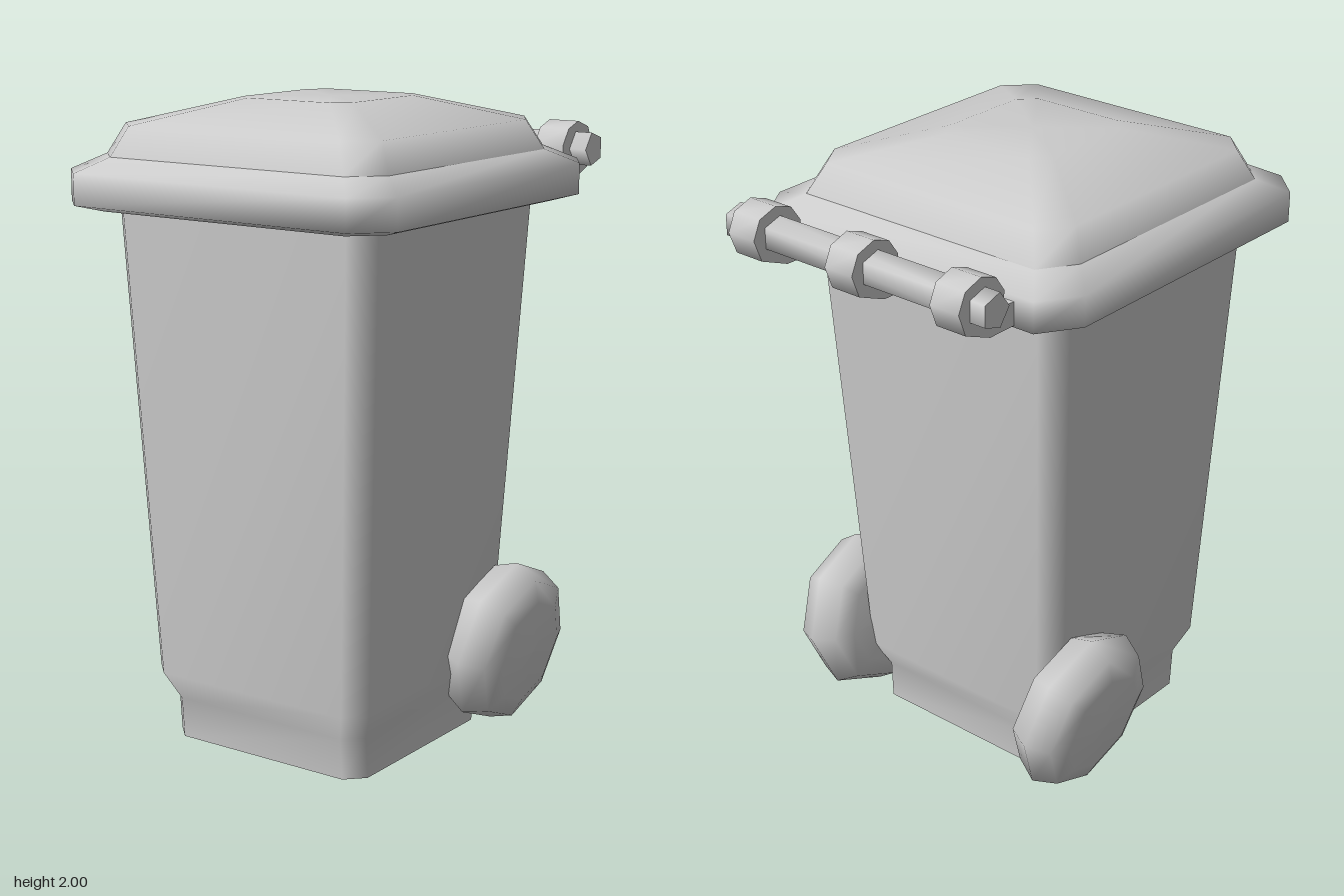
import * as THREE from 'three';
import { toCreasedNormals } from 'three/addons/utils/BufferGeometryUtils.js';

const material = new THREE.MeshStandardMaterial({ color: 0xcccccc, side: THREE.DoubleSide });

// Rectangle with cut corners at height y: half width, front z, back z, corner cut
function ring([y, w, front, back, c]) {
  const bx = c * 0.8, bz = c * 1.25; // back corners are cut a little deeper in z
  return [
    [w, y, back + bz], [w, y, front - c], [w - c, y, front], [c - w, y, front],
    [-w, y, front - c], [-w, y, back + bz], [bx - w, y, back], [w - bx, y, back],
  ];
}

// Smooth skin through a stack of rings, optionally closed on top
function loft(sections, capTop = false) {
  const points = sections.flatMap(ring);
  const index = [];
  for (let i = 0; i < sections.length - 1; i++) {
    for (let j = 0; j < 8; j++) {
      const a = i * 8 + j, b = i * 8 + (j + 1) % 8;
      index.push(a, a + 8, b, b, a + 8, b + 8);
    }
  }
  if (capTop) {
    const [y, , front, back] = sections[sections.length - 1];
    const base = (sections.length - 1) * 8, centre = points.length;
    points.push([0, y, (front + back) / 2]);
    for (let j = 0; j < 8; j++) index.push(centre, base + (j + 1) % 8, base + j);
  }
  const geometry = new THREE.BufferGeometry();
  geometry.setAttribute('position', new THREE.Float32BufferAttribute(points.flat(), 3));
  geometry.setIndex(index);
  geometry.computeVertexNormals();
  return geometry;
}

export function createModel() {
  const group = new THREE.Group();
  const add = (name, geometry) => {
    const mesh = new THREE.Mesh(geometry, material);
    mesh.name = name;
    group.add(mesh);
    return mesh;
  };

  // Tapered body with a stepped-in foot, open underneath
  add('body', loft([
    [0, 0.36, 0.48, -0.23, 0.055],
    [0.13, 0.36, 0.49, -0.235, 0.055],
    [0.22, 0.40, 0.535, -0.28, 0.06],
    [1.68, 0.47, 0.60, -0.37, 0.065],
  ]));

  // Lid: overhanging rim, then a low dome
  add('lidRim', loft([
    [1.67, 0.46, 0.59, -0.36, 0.065],
    [1.675, 0.52, 0.65, -0.42, 0.085],
    [1.695, 0.59, 0.72, -0.50, 0.10],
    [1.79, 0.59, 0.72, -0.50, 0.10],
    [1.835, 0.51, 0.635, -0.41, 0.09],
  ]));
  add('lidDome', loft([
    [1.835, 0.51, 0.635, -0.41, 0.09],
    [1.925, 0.465, 0.595, -0.365, 0.085],
    [2.0, 0.20, 0.32, -0.10, 0.05],
  ], true));

  // Rounded eight-sided wheels, leaning outward at the top
  const tyre = [[0, -0.11], [0.17, -0.1], [0.235, -0.076], [0.27, 0], [0.235, 0.076], [0.17, 0.1], [0, 0.11]];
  const wheelGeometry = new THREE.LatheGeometry(tyre.map(([r, w]) => new THREE.Vector2(r, w)), 8);
  wheelGeometry.rotateZ(-Math.PI / 2);
  for (const side of [1, -1]) {
    const wheel = add(side > 0 ? 'leftWheel' : 'rightWheel', wheelGeometry);
    wheel.position.set(side * 0.455, 0.277, -0.195);
    wheel.rotation.z = -side * 0.165;
  }

  // Five-sided handle bar behind the lid
  const bar = new THREE.CylinderGeometry(0.055, 0.055, 0.99, 5);
  bar.rotateZ(Math.PI / 2);
  const handleBar = add('handleBar', toCreasedNormals(bar, 1.4));
  handleBar.position.set(0, 1.805, -0.637);

  // Curled hinge arms holding the bar (profile: distance behind centre, height)
  const arm = [[0.42, 1.81], [0.445, 1.81], [0.5, 1.772], [0.545, 1.775], [0.54, 1.82], [0.575, 1.87],
    [0.635, 1.89], [0.7, 1.868], [0.727, 1.81], [0.7, 1.74], [0.6, 1.7], [0.49, 1.7], [0.42, 1.72]];
  const armGeometry = new THREE.ExtrudeGeometry(
    new THREE.Shape(arm.map(([d, y]) => new THREE.Vector2(d, y))),
    { depth: 0.104, bevelEnabled: false },
  );
  armGeometry.translate(0, 0, -0.052);
  armGeometry.rotateY(Math.PI / 2);
  const smoothArm = toCreasedNormals(armGeometry, 1.1);
  [['rightHinge', -0.39], ['middleHinge', 0], ['leftHinge', 0.385]].forEach(([name, x]) => {
    add(name, smoothArm).position.x = x;
  });

  return group;
}
